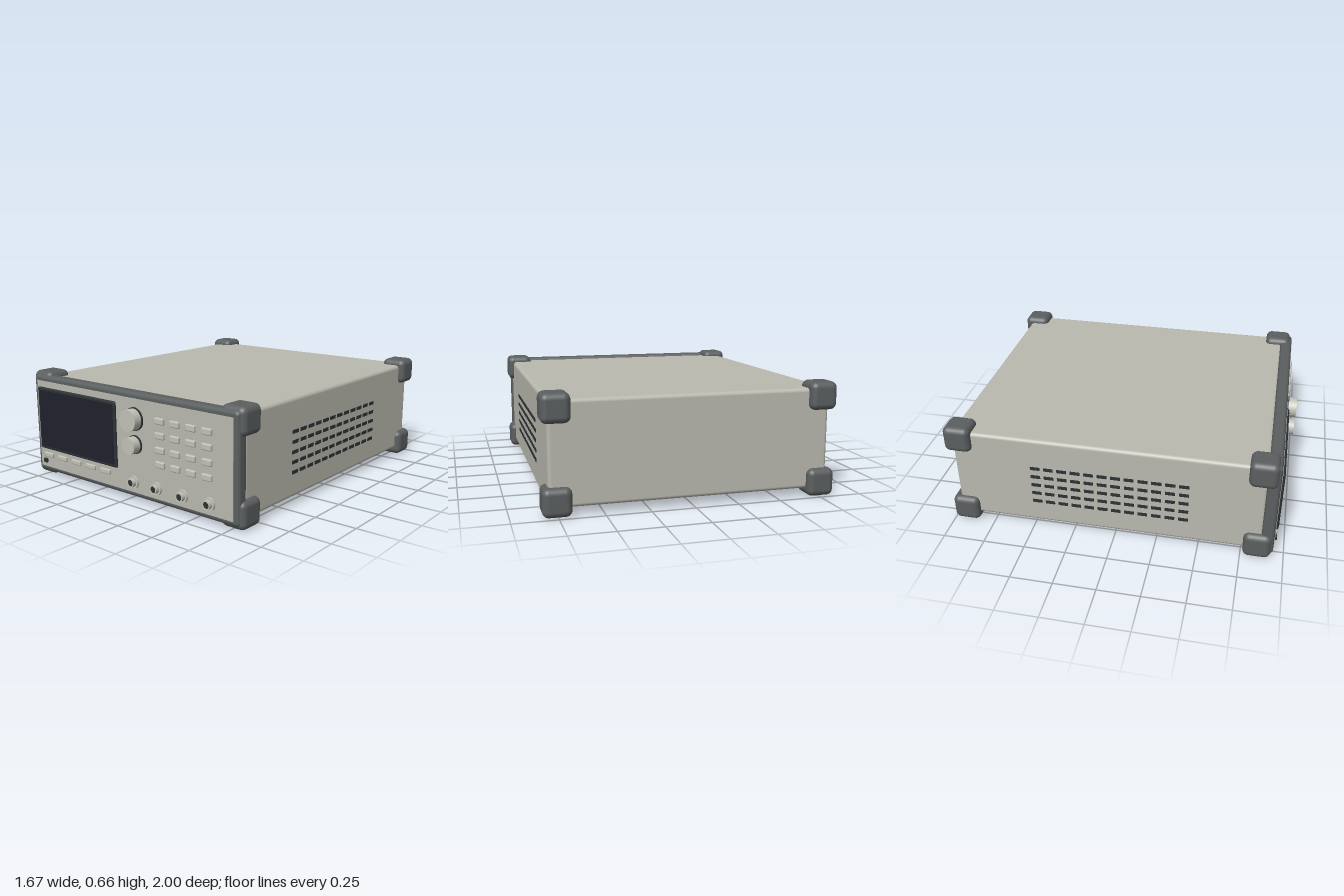
import * as THREE from 'three';
import { RoundedBoxGeometry } from 'three/addons/geometries/RoundedBoxGeometry.js';

function mat(name, color) {
  const m = new THREE.MeshStandardMaterial({ color });
  m.name = name;
  return m;
}

export function createModel() {
  const shell = mat('warm grey shell', 0xbab9af);
  const keyCap = mat('light grey keys', 0xc2c1b7);
  const rubber = mat('dark grey rubber', 0x5b5f60);
  const black = mat('charcoal', 0x2c3234);
  const glass = mat('screen glass', 0x20202c);

  const model = new THREE.Group();
  model.name = 'benchInstrument';

  const add = (name, geometry, material, x, y, z, parent = model) => {
    const mesh = new THREE.Mesh(geometry, material);
    mesh.name = name;
    mesh.position.set(x, y, z);
    parent.add(mesh);
    return mesh;
  };
  const rounded = (w, h, d, r, s = 3) => new RoundedBoxGeometry(w, h, d, s, r);
  // Turned part along z from [radius, z] points
  const turned = (points, sides = 32) => {
    const profile = [];
    points.forEach(([r, z], i) => {
      // doubled points keep the rims crisp
      if (i > 0 && i < points.length - 1) profile.push(new THREE.Vector2(r, z));
      profile.push(new THREE.Vector2(r, z));
    });
    return new THREE.LatheGeometry(profile, sides).rotateX(Math.PI / 2).toNonIndexed();
  };
  const crisp = (r, depth, sides = 32) =>
    new THREE.CylinderGeometry(r, r, depth, sides).rotateX(Math.PI / 2);

  // Housing, front bezel and front panel
  add('case', rounded(1.6, 0.58, 1.83, 0.022), shell, 0, 0.336, -0.043);
  add('frontBezel', rounded(1.624, 0.618, 0.076, 0.024), rubber, 0, 0.334, 0.9);
  add('frontPanel', new THREE.BoxGeometry(1.56, 0.553, 0.02), shell, 0, 0.332, 0.931);
  const face = 0.941;

  // Rubber bumpers on all eight corners
  for (const x of [-0.755, 0.755])
    for (const y of [0.083, 0.583])
      for (const z of [-0.919, 0.843])
        add('cornerBumper', rounded(0.16, 0.16, 0.162, 0.036, 4), rubber, x, y, z);

  // Feet
  for (const x of [-0.535, 0.535])
    for (const z of [-0.65, 0.58])
      add('foot', rounded(0.142, 0.06, 0.16, 0.01, 2), black, x, 0.03, z);

  // Side ventilation slots
  const slot = new THREE.BoxGeometry(0.008, 0.02, 0.057);
  for (const side of [-1, 1]) {
    const vents = new THREE.Group();
    vents.name = side > 0 ? 'leftVents' : 'rightVents';
    model.add(vents);
    for (let row = 0; row < 5; row++)
      for (let col = 0; col < 12; col++)
        add('ventSlot', slot, black, side * 0.8, 0.196 + row * 0.059, 0.41 - col * 0.0795, vents);
  }

  // Display
  add('screenFrame', rounded(0.694, 0.394, 0.026, 0.01), black, -0.417, 0.373, face);
  add('screen', new THREE.BoxGeometry(0.663, 0.358, 0.006), glass, -0.417, 0.373, 0.9525);

  // Soft keys below the display and power switch
  const softKey = rounded(0.083, 0.029, 0.026, 0.006, 2);
  for (let i = 0; i < 5; i++)
    add('softKey', softKey, keyCap, -0.695 + i * 0.1303, 0.138, face);
  add('powerSwitch', rounded(0.03, 0.028, 0.024, 0.004, 2), black, -0.731, 0.096, face);

  // Keypad
  const key = rounded(0.067, 0.037, 0.03, 0.007, 2);
  for (let row = 0; row < 4; row++)
    for (let col = 0; col < 4; col++)
      add('keypadKey', key, keyCap, 0.274 + col * 0.112, 0.51 - row * 0.0825, face);

  // Rotary knobs on dark collars
  for (const [y, r] of [[0.492, 0.062], [0.345, 0.049]]) {
    const knob = new THREE.Group();
    knob.name = 'rotaryKnob';
    knob.position.set(0.08, y, face);
    model.add(knob);
    add('knobCollar', crisp(r + 0.005, 0.012, 40), black, 0, 0, 0.004, knob);
    add('knobCap', crisp(r, 0.06, 40), keyCap, 0, 0, 0.029, knob);
  }

  // Coaxial connectors: flange, hollow barrel and dark core
  for (const x of [0.062, 0.241, 0.434, 0.624]) {
    const jack = new THREE.Group();
    jack.name = 'connector';
    jack.position.set(x, 0.12, face);
    model.add(jack);
    add('connectorFlange', crisp(0.037, 0.014), keyCap, 0, 0, 0.005, jack);
    const barrel = turned([[0.026, 0], [0.026, 0.034], [0.019, 0.034], [0.019, 0.012]]);
    barrel.computeVertexNormals();
    add('connectorBarrel', barrel, keyCap, 0, 0, 0, jack);
    add('connectorCore', crisp(0.019, 0.018), black, 0, 0, 0.022, jack);
  }

  return model;
}
